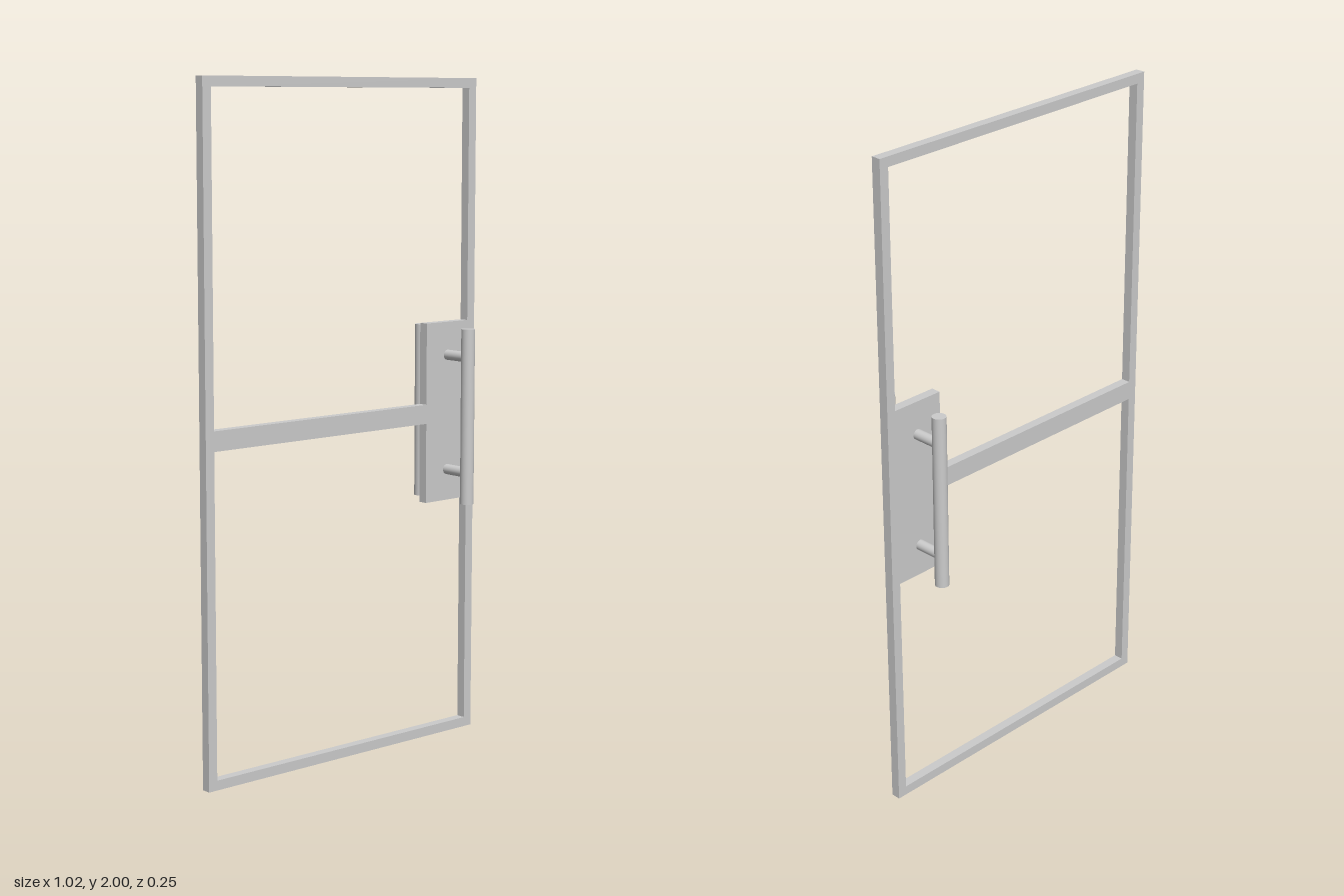
import * as THREE from 'three';

export function createModel() {
  const group = new THREE.Group();
  const material = new THREE.MeshStandardMaterial({ color: 0xcccccc });
  const add = (name, geometry, x, y, z) => {
    const mesh = new THREE.Mesh(geometry, material);
    mesh.name = name;
    mesh.position.set(x, y, z);
    group.add(mesh);
    return mesh;
  };

  const W = 0.512, rim = 0.029, depth = 0.029;
  const inner = W - rim, plateX = 0.316, plateLow = 0.73, plateHigh = 1.275;
  const railLow = 0.972, railHigh = 1.03;
  const polygon = (points, Type) => new Type(points.map(([x, y]) => new THREE.Vector2(x, y)));

  // Door frame: rim, middle rail and lock plate in one slab with two openings
  const slab = polygon([[-W, 0], [W, 0], [W, 2], [-W, 2]], THREE.Shape);
  const opening = (outerY, railY, plateY) => polygon([
    [-inner, outerY], [inner, outerY], [inner, plateY],
    [plateX, plateY], [plateX, railY], [-inner, railY],
  ], THREE.Path);
  slab.holes.push(opening(rim, railLow, plateLow), opening(2 - rim, railHigh, plateHigh));
  add('doorFrame', new THREE.ExtrudeGeometry(slab, { depth, bevelEnabled: false }), 0, 0, -depth / 2 - 0.001);

  // Pull bars on both faces
  const handleX = 0.402, handleZ = 0.102;
  const bar = new THREE.CylinderGeometry(0.0205, 0.0205, 0.53, 32);
  add('frontHandle', bar, handleX, 0.995, handleZ);
  add('backHandle', bar, handleX, 0.995, -handleZ);

  // Standoffs running through the plate
  const rod = new THREE.CylinderGeometry(0.0155, 0.0155, handleZ * 2, 24).rotateX(Math.PI / 2);
  add('upperStandoff', rod, handleX, 1.175, 0);
  add('lowerStandoff', rod, handleX, 0.825, 0);

  return group;
}
